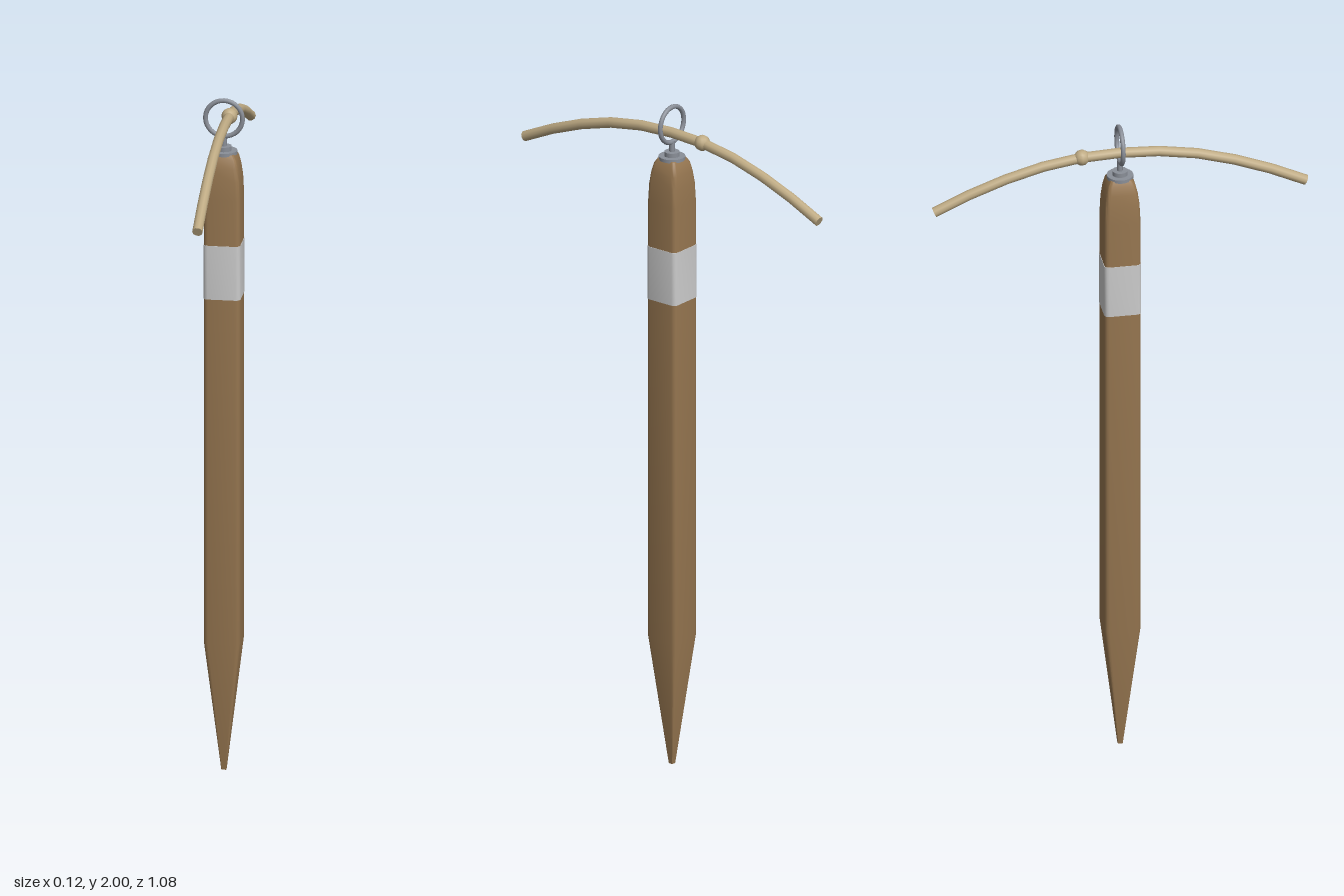
import * as THREE from 'three';
import { toCreasedNormals } from 'three/addons/utils/BufferGeometryUtils.js';

const paint = (color) => new THREE.MeshStandardMaterial({ color });
const wood = paint(0x967650);
const bandPaint = paint(0xc8caca);
const metal = paint(0x8a8f98);
const cord = paint(0xbfab84);

// Lofts rounded-square sections, each given as [half width, height]
function squareLoft(sections, corner = 0.25, steps = 3) {
  const outline = [];
  for (let q = 0; q < 4; q++) {
    const mid = Math.PI / 4 + q * Math.PI / 2;
    const cx = Math.sign(Math.cos(mid)) * (1 - corner);
    const cz = Math.sign(Math.sin(mid)) * (1 - corner);
    for (let s = 0; s <= steps; s++) {
      const a = (q + s / steps) * Math.PI / 2;
      outline.push([cx + corner * Math.cos(a), cz + corner * Math.sin(a)]);
    }
  }
  const n = outline.length, positions = [], index = [];
  for (const [half, y] of sections) {
    for (const [x, z] of outline) positions.push(x * half, y, z * half);
  }
  for (let i = 0; i < sections.length - 1; i++) {
    for (let j = 0; j < n; j++) {
      const k = (j + 1) % n;
      const a = i * n + j, b = i * n + k, c = a + n, d = b + n;
      index.push(a, c, d, a, d, b);
    }
  }
  const geometry = new THREE.BufferGeometry();
  geometry.setAttribute('position', new THREE.Float32BufferAttribute(positions, 3));
  geometry.setIndex(index);
  return toCreasedNormals(geometry, 0.6);
}

export function createModel() {
  const group = new THREE.Group();
  const add = (name, geometry, material, x = 0, y = 0, z = 0, parent = group) => {
    const mesh = new THREE.Mesh(geometry, material);
    mesh.name = name;
    mesh.position.set(x, y, z);
    parent.add(mesh);
    return mesh;
  };

  // Stake with a pointed foot and a rounded head
  add('stake', squareLoft([
    [0, 0], [0.007, 0], [0.052, 0.39], [0.052, 1.71], [0.0495, 1.765],
    [0.045, 1.80], [0.039, 1.826], [0.031, 1.84], [0, 1.84],
  ]), wood);

  // Painted band
  add('band', squareLoft([
    [0.05, 1.415], [0.0532, 1.415], [0.0532, 1.575], [0.05, 1.575],
  ]), bandPaint);

  // Eye bolt: washer, nut, shank and ring
  add('washer', new THREE.CylinderGeometry(0.038, 0.038, 0.01, 24), metal, 0, 1.841, 0);
  add('nut', new THREE.CylinderGeometry(0.022, 0.022, 0.014, 16), metal, 0, 1.852, 0);
  add('shank', new THREE.CylinderGeometry(0.008, 0.008, 0.05, 12), metal, 0, 1.866, 0);
  add('eyeRing', new THREE.TorusGeometry(0.053, 0.007, 10, 32), metal, 0, 1.94, 0);

  // Drooping cord threaded through the ring
  const radius = 0.015;
  const curve = new THREE.CatmullRomCurve3([
    [1.775, 0.535], [1.842, 0.385], [1.895, 0.21], [1.913, 0.08],
    [1.913, -0.08], [1.895, -0.21], [1.842, -0.385], [1.775, -0.535],
  ].map(([y, z]) => new THREE.Vector3(0, y, z)));
  const rope = new THREE.Group();
  rope.name = 'rope';
  group.add(rope);
  add('ropeCord', new THREE.TubeGeometry(curve, 10, radius, 10), cord, 0, 0, 0, rope);
  for (const t of [0, 1]) {
    const end = curve.getPointAt(t);
    const outward = curve.getTangentAt(t).multiplyScalar(t ? 1 : -1);
    const cap = add('ropeEnd', new THREE.CircleGeometry(radius, 10), cord, end.x, end.y, end.z, rope);
    cap.lookAt(end.clone().add(outward));
  }

  // Knot beside the ring
  add('knot', new THREE.SphereGeometry(0.023, 10, 8), cord, 0, 1.911, -0.11, rope);

  return group;
}
